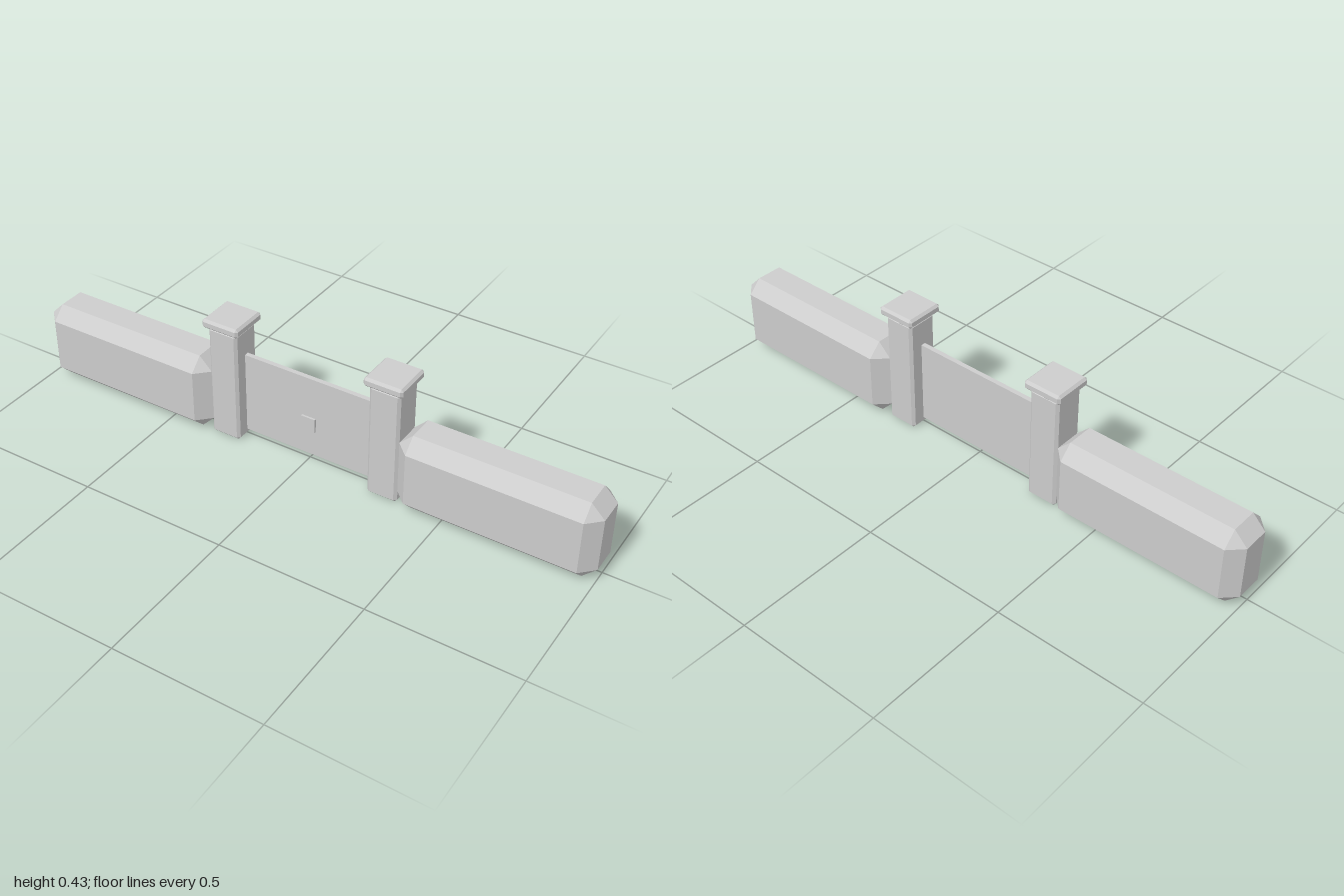
import * as THREE from 'three';
import { ConvexGeometry } from 'three/addons/geometries/ConvexGeometry.js';

// Box with every edge cut by a flat chamfer c and triangular corners
function chamferBox(w, h, d, c) {
  const pts = [];
  for (const x of [-1, 1]) for (const y of [-1, 1]) for (const z of [-1, 1]) {
    for (const [a, b, e] of [[0, c, c], [c, 0, c], [c, c, 0]]) {
      pts.push(new THREE.Vector3(x * (w / 2 - a), y * (h / 2 - b), z * (d / 2 - e)));
    }
  }
  return new ConvexGeometry(pts);
}

export function createModel() {
  const model = new THREE.Group();
  model.name = 'hedgeGate';
  const grey = new THREE.MeshStandardMaterial({ color: 0xcccccc });
  grey.name = 'plainGrey';

  const add = (name, geometry, x, y, z) => {
    const mesh = new THREE.Mesh(geometry, grey);
    mesh.name = name;
    mesh.position.set(x, y, z);
    model.add(mesh);
  };

  // Hedges, posts and caps mirrored about the gate
  const hedge = chamferBox(0.657, 0.273, 0.181, 0.045);
  const post = chamferBox(0.106, 0.402, 0.109, 0.009);
  const cap = chamferBox(0.134, 0.032, 0.137, 0.008);
  for (const [side, s] of [['left', 1], ['right', -1]]) {
    add(side + 'Hedge', hedge, s * 0.6715, 0.1365, 0);
    add(side + 'Post', post, s * 0.291, 0.201, 0);
    add(side + 'PostCap', cap, s * 0.291, 0.418, 0);
  }

  // Gate panel between the posts, with a latch plate on the front
  add('gatePanel', new THREE.BoxGeometry(0.49, 0.288, 0.016), 0, 0.165, 0);
  add('latch', new THREE.BoxGeometry(0.05, 0.05, 0.008), 0, 0.139, 0.011);

  return model;
}
